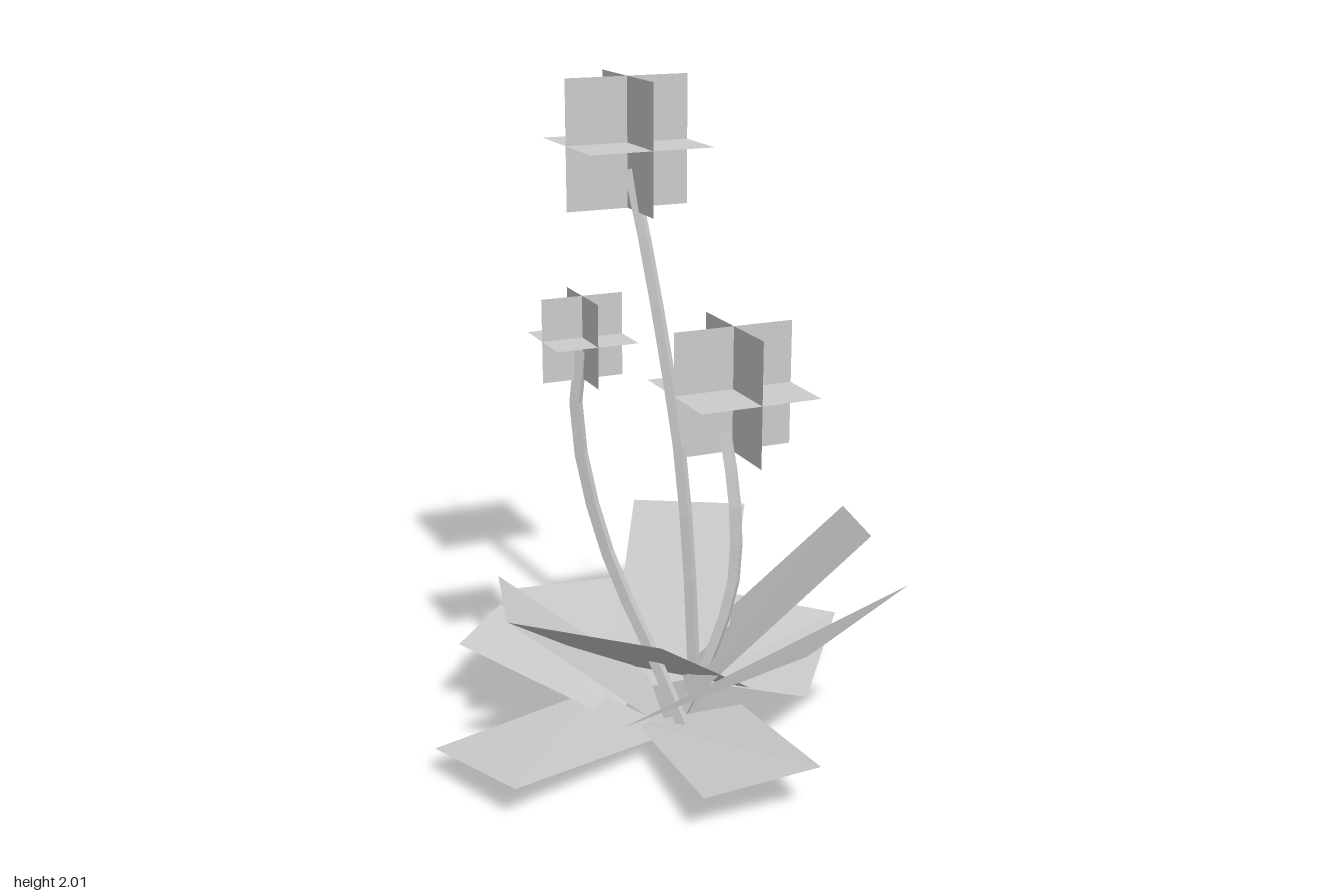
import * as THREE from 'three';

const material = new THREE.MeshStandardMaterial({ color: 0xcccccc, flatShading: true, side: THREE.DoubleSide });

// Flat four-cornered leaf: two tip corners, then the two root corners below them
function leaf(tipA, tipB, rootA, rootB) {
  const geometry = new THREE.PlaneGeometry(1, 1);
  [tipA, tipB, rootA, rootB].forEach((p, i) => geometry.attributes.position.setXYZ(i, ...p));
  geometry.computeVertexNormals();
  const mesh = new THREE.Mesh(geometry, material);
  mesh.name = 'leaf';
  return mesh;
}

// Blossom made of three square cards crossing at right angles
function blossom(size, center) {
  const group = new THREE.Group();
  group.name = 'blossom';
  for (const [rx, ry] of [[0, 0], [Math.PI / 2, 0], [0, Math.PI / 2]]) {
    const card = new THREE.Mesh(new THREE.PlaneGeometry(size, size), material);
    card.name = 'petalCard';
    card.rotation.set(rx, ry, 0);
    group.add(card);
  }
  group.position.set(...center);
  return group;
}

// Thin low-poly stem along a bent path
function stem(points) {
  const curve = new THREE.CatmullRomCurve3(points.map((p) => new THREE.Vector3(...p)));
  const mesh = new THREE.Mesh(new THREE.TubeGeometry(curve, 8, 0.022, 4), material);
  mesh.name = 'stem';
  return mesh;
}

export function createModel() {
  const model = new THREE.Group();
  model.name = 'floweringPlant';

  // Low leaves spreading near the ground
  const lowLeaves = [
    [[-0.24, 0.13, -0.815], [0.305, 0.1, -0.815], [-0.24, 0.06, -0.03], [0.305, 0.055, -0.03]],
    [[-0.8, 0.08, 0.13], [-0.67, 0.105, 0.495], [-0.2, 0.055, -0.085], [-0.07, 0.055, 0.28]],
    [[-0.61, 0.235, -0.225], [-0.37, 0.21, -0.53], [-0.2, 0.035, 0.105], [0.04, 0.03, -0.2]],
    [[0.5, 0.105, -0.515], [0.795, 0.08, -0.26], [0.125, 0.05, -0.025], [0.415, 0.05, 0.23]],
    [[-0.21, 0.12, 0.78], [0.145, 0.155, 0.81], [-0.165, 0.055, 0.18], [0.195, 0.055, 0.2]],
  ];
  // Steep leaves rising around the stems
  const highLeaves = [
    [[-0.565, 0.455, 0.135], [-0.47, 0.447, -0.23], [-0.095, 0.06, 0.265], [0, 0.06, -0.1]],
    [[0.395, 0.575, -0.2], [0.09, 0.555, -0.435], [0.2, 0.07, 0.05], [-0.1, 0.07, -0.19]],
    [[0.095, 0.51, 0.805], [0.575, 0.545, 0.555], [-0.21, 0.06, 0.2], [0.29, 0.05, 0]],
    [[-0.62, 0.54, 0.32], [-0.285, 0.54, 0.655], [-0.06, 0.05, -0.24], [0.275, 0.05, 0.095]],
    [[0.555, 0.635, 0.36], [0.71, 0.56, -0.085], [-0.01, 0.13, 0.25], [0.145, 0.06, -0.195]],
  ];
  for (const corners of [...lowLeaves, ...highLeaves]) model.add(leaf(...corners));

  // Three flowers: blossom and stem
  const flowers = [
    { size: 0.413, center: [0.028, 1.794, -0.328],
      path: [[0.09, 0, 0.07], [0.085, 0.5, 0.03], [0.075, 0.88, -0.03], [0.055, 1.24, -0.13], [0.043, 1.42, -0.18], [0.03, 1.71, -0.31]] },
    { size: 0.413, center: [0.27, 1.035, -0.045],
      path: [[0.05, 0, 0.07], [0.13, 0.2, 0.1], [0.205, 0.45, 0.11], [0.225, 0.7, 0.07], [0.232, 0.9, -0.02]] },
    { size: 0.255, center: [-0.265, 1.277, 0.022],
      path: [[-0.02, 0, 0.28], [-0.12, 0.33, 0.15], [-0.19, 0.53, 0.08], [-0.255, 0.8, 0.03], [-0.285, 1.05, 0.01], [-0.27, 1.24, 0.02]] },
  ];
  for (const { size, center, path } of flowers) {
    const flower = new THREE.Group();
    flower.name = 'flower';
    flower.add(stem(path), blossom(size, center));
    model.add(flower);
  }
  return model;
}
